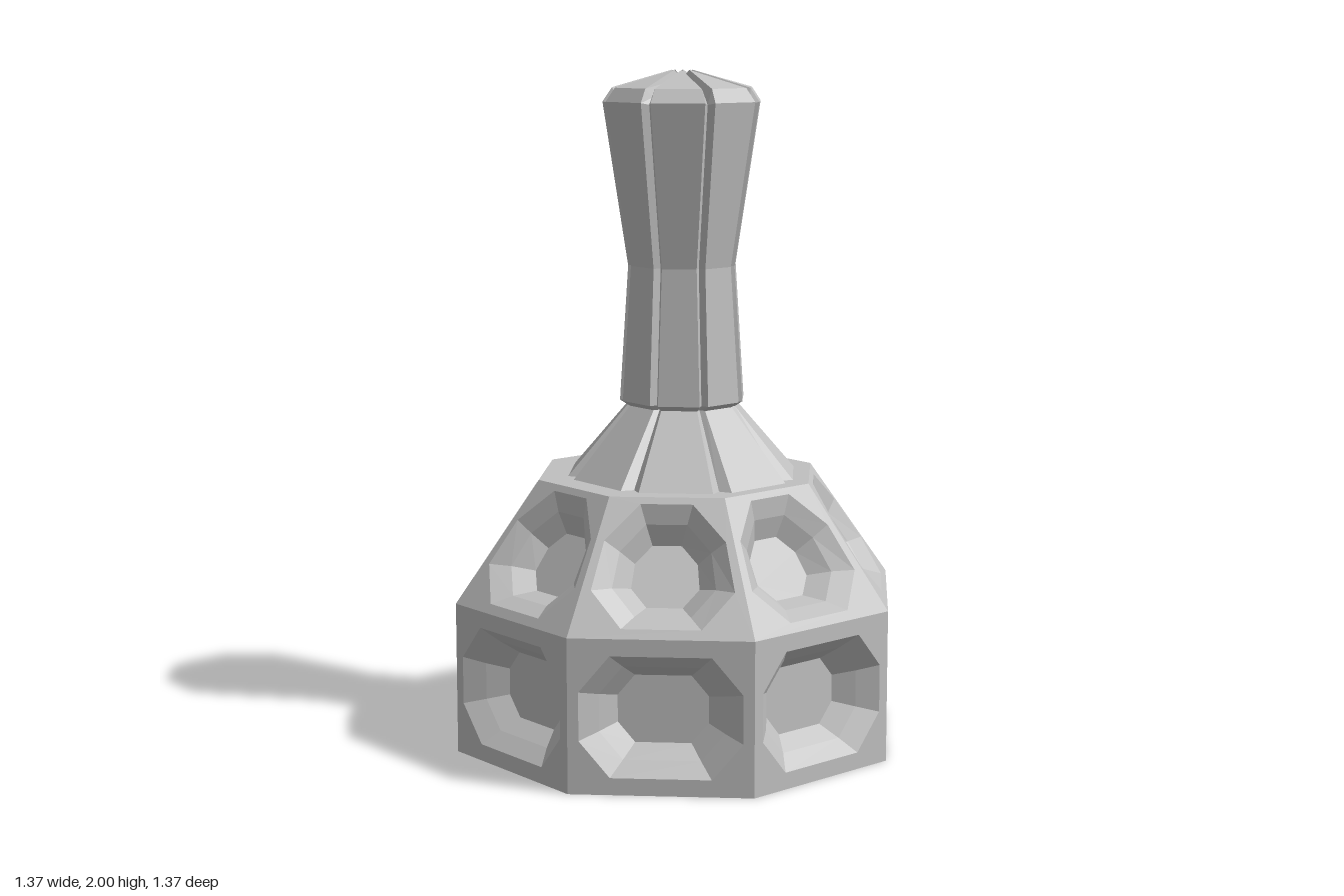
import * as THREE from 'three';

const glass = new THREE.MeshStandardMaterial({ color: 0xc0c0c0, flatShading: true });
glass.name = 'grey glass';

const V = (x, y, z) => new THREE.Vector3(x, y, z);
const polar = (r, a, y) => V(r * Math.sin(a), y, r * Math.cos(a));

// Collects triangles and quads (corners anticlockwise from outside)
class Faces {
  constructor() { this.points = []; }
  tri(a, b, c) { this.points.push(a, b, c); }
  quad(a, b, c, d) { this.tri(a, b, c); this.tri(a, c, d); }
  mesh(name) {
    const geometry = new THREE.BufferGeometry().setFromPoints(this.points);
    geometry.computeVertexNormals();
    const mesh = new THREE.Mesh(geometry, glass);
    mesh.name = name;
    return mesh;
  }
}

// A four-cornered panel with a stepped eight-sided hollow cut into it
function cutPanel(corners, cut, name) {
  const faces = new Faces();
  const [bl, br, tr, tl] = corners;
  const normal = br.clone().sub(bl).cross(tl.clone().sub(bl)).normalize();
  const at = (u, v, depth) =>
    bl.clone().lerp(br, u).lerp(tl.clone().lerp(tr, u), v).addScaledVector(normal, -depth);
  const { c, d } = cut;
  const outline = [[-1, -c], [-d, -1], [d, -1], [1, -c], [1, c], [d, 1], [-d, 1], [-1, c]];
  const rings = cut.steps.map(([scale, depth]) =>
    outline.map(([x, y]) => at(0.5 + x * cut.u * scale, cut.mid + y * cut.v * scale, depth)));

  // Flat frame
  for (let k = 0; k < 4; k++) {
    const p = rings[0];
    faces.tri(corners[k], p[2 * k + 1], p[2 * k]);
    faces.quad(corners[k], corners[(k + 1) % 4], p[(2 * k + 2) % 8], p[2 * k + 1]);
  }
  // Stepped walls
  for (let s = 0; s + 1 < rings.length; s++) {
    for (let i = 0; i < 8; i++) {
      const j = (i + 1) % 8;
      faces.quad(rings[s][i], rings[s][j], rings[s + 1][j], rings[s + 1][i]);
    }
  }
  // Floor
  const floor = rings[rings.length - 1];
  for (let i = 1; i < 7; i++) faces.tri(floor[0], floor[i], floor[i + 1]);
  return faces.mesh(name);
}

// Eight-sided body: two rows of cut panels, a flat ledge and a base
function makeBody() {
  const body = new THREE.Group();
  body.name = 'body';
  const levels = [[0.685, 0], [0.685, 0.45], [0.43, 0.805]];
  const cuts = [
    { name: 'lowerCutPanel', u: 0.44, v: 0.39, mid: 0.5, c: 0.4, d: 0.62,
      steps: [[1, 0], [0.77, 0.045], [0.56, 0.095]] },
    { name: 'upperCutPanel', u: 0.44, v: 0.44, mid: 0.51, c: 0.4, d: 0.5,
      steps: [[1, 0], [0.74, 0.035], [0.5, 0.085]] },
  ];
  const step = Math.PI / 4;
  for (let k = 0; k < 8; k++) {
    cuts.forEach((cut, row) => {
      const [r0, y0] = levels[row], [r1, y1] = levels[row + 1];
      const a = k * step, b = a + step;
      body.add(cutPanel([polar(r0, a, y0), polar(r0, b, y0), polar(r1, b, y1), polar(r1, a, y1)], cut, cut.name));
    });
  }
  const ledge = new Faces(), base = new Faces();
  for (let k = 0; k < 8; k++) {
    const a = k * step, b = a + step;
    ledge.tri(V(0, 0.805, 0), polar(0.43, a, 0.805), polar(0.43, b, 0.805));
    base.tri(V(0, 0, 0), polar(0.685, b, 0), polar(0.685, a, 0));
  }
  body.add(ledge.mesh('ledge'), base.mesh('base'));
  return body;
}

// Lofts an eight-sided section with a V groove at each corner.
// Each row: radius, height, half groove width, valley radius, valley height
function groovedLoft(rows, name) {
  const faces = new Faces();
  const rings = rows.map(([r, y, g, vr, vy]) => {
    const ring = [];
    for (let k = 0; k < 8; k++) {
      const a = k * Math.PI / 4;
      const side = V(Math.cos(a), 0, -Math.sin(a));
      ring.push(
        polar(r, a, y).addScaledVector(side, -g),
        polar(vr, a, vy),
        polar(r, a, y).addScaledVector(side, g));
    }
    return ring;
  });
  for (let s = 0; s + 1 < rings.length; s++) {
    for (let i = 0; i < 24; i++) {
      const j = (i + 1) % 24;
      faces.quad(rings[s][i], rings[s][j], rings[s + 1][j], rings[s + 1][i]);
    }
  }
  const mesh = faces.mesh(name);
  // The upper part sits slightly to one side and is a little narrower across
  mesh.position.x = 0.016;
  mesh.scale.x = 0.95;
  return mesh;
}

export function createModel() {
  const model = new THREE.Group();
  model.name = 'decanter';
  model.add(makeBody());

  model.add(groovedLoft([
    [0.365, 0.805, 0.03, 0.335, 0.805],
    [0.175, 1.015, 0.013, 0.16, 1.015],
  ], 'shoulder'));

  model.add(groovedLoft([
    [0.172, 1.012, 0.013, 0.155, 1.012],
    [0.2, 1.03, 0.014, 0.178, 1.03],
    [0.172, 1.43, 0.014, 0.152, 1.43],
    [0.252, 1.91, 0.016, 0.228, 1.905],
  ], 'neck'));

  model.add(groovedLoft([
    [0.252, 1.91, 0.016, 0.228, 1.905],
    [0.222, 1.95, 0.016, 0.205, 1.925],
    [0.03, 2.0, 0.0124, 0.0, 1.975],
  ], 'stopperCap'));

  return model;
}
